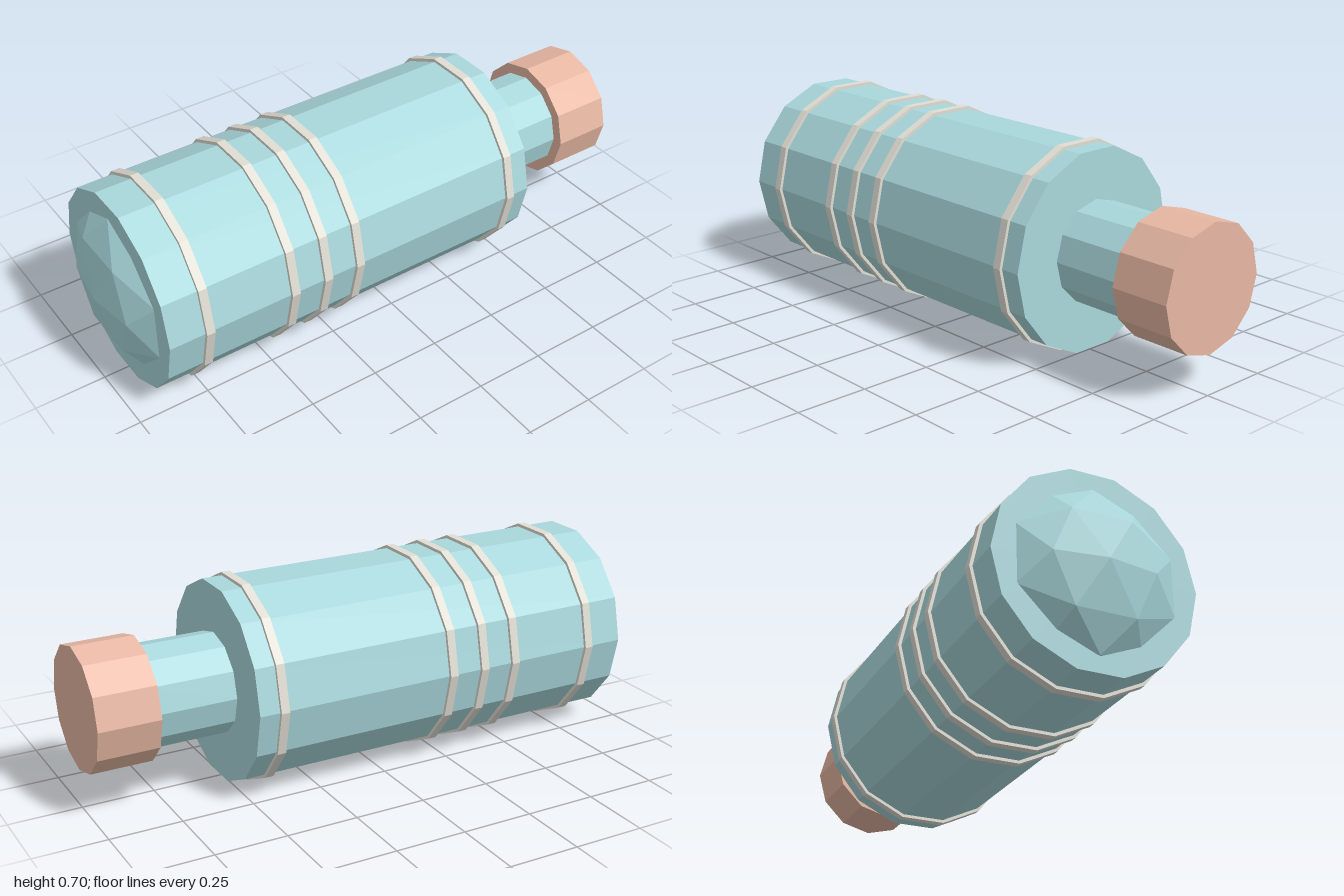
import * as THREE from 'three';

const AXIS_Y = 0.35;

function material(color) {
  return new THREE.MeshStandardMaterial({ color, flatShading: true });
}

export function createModel() {
  const model = new THREE.Group();
  const teal = material(0xa9d8dc);
  const cream = material(0xe0ded4);
  const peach = material(0xe8b8a4);

  // Faceted cylinder lying along x, from x0 to x1
  function barrel(name, radius, x0, x1, sides, mat) {
    const geometry = new THREE.CylinderGeometry(radius, radius, x1 - x0, sides);
    geometry.rotateZ(-Math.PI / 2);
    const mesh = new THREE.Mesh(geometry, mat);
    mesh.name = name;
    mesh.position.set((x0 + x1) / 2, AXIS_Y, 0);
    model.add(mesh);
  }

  // Main body, with the neck and end cap on its +x end
  barrel('body', 0.347, -0.915, 0.513, 14, teal);
  barrel('neck', 0.175, 0.5, 0.8, 12, teal);
  barrel('endCap', 0.214, 0.788, 1, 12, peach);

  // Thin raised bands around the body
  [-0.775, -0.46, -0.334, -0.208, 0.428].forEach((x, i) => {
    barrel(`band${i + 1}`, 0.358, x - 0.015, x + 0.015, 14, cream);
  });

  // Flattened faceted dome showing through the -x end
  const domeGeometry = new THREE.IcosahedronGeometry(1, 1);
  domeGeometry.scale(0.175, 0.33, 0.33);
  const dome = new THREE.Mesh(domeGeometry, teal);
  dome.name = 'dome';
  dome.position.set(-0.825, AXIS_Y, 0);
  model.add(dome);

  return model;
}
